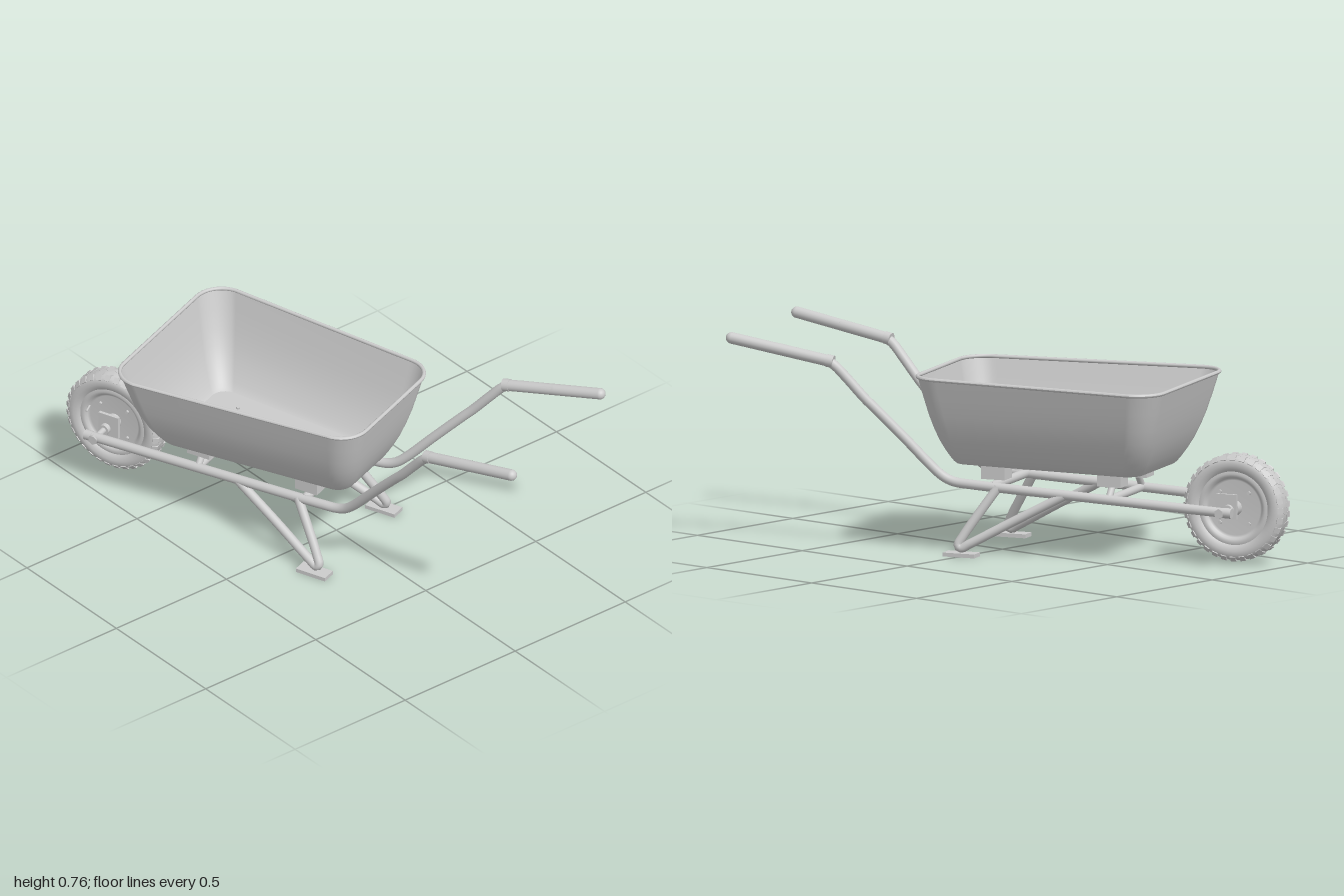
import * as THREE from 'three';

const V = (x, y, z) => new THREE.Vector3(x, y, z);
const mat = new THREE.MeshStandardMaterial({ color: 0xcccccc });
const thinMat = new THREE.MeshStandardMaterial({ color: 0xcccccc, side: THREE.DoubleSide });

function add(parent, name, geometry, material = mat) {
  const mesh = new THREE.Mesh(geometry, material);
  mesh.name = name;
  parent.add(mesh);
  return mesh;
}

function box(parent, name, w, h, d, x, y, z) {
  const mesh = add(parent, name, new THREE.BoxGeometry(w, h, d));
  mesh.position.set(x, y, z);
  return mesh;
}

// Closed straight bar between two points
function rod(parent, name, a, b, r, sides = 16, capsule = false) {
  const len = a.distanceTo(b);
  const geometry = capsule ? new THREE.CapsuleGeometry(r, len, 8, 20) : new THREE.CylinderGeometry(r, r, len, sides);
  const mesh = add(parent, name, geometry);
  mesh.position.copy(a).lerp(b, 0.5);
  mesh.quaternion.setFromUnitVectors(V(0, 1, 0), b.clone().sub(a).normalize());
  return mesh;
}

function pipe(parent, name, points, r, segments = 80) {
  const curve = new THREE.CatmullRomCurve3(points, false, 'centripetal');
  return add(parent, name, new THREE.TubeGeometry(curve, segments, r, 16), thinMat);
}

// Rounded tapered outline of the tray: t = 0 at the rim, 1 at the floor
const lerp = THREE.MathUtils.lerp;
function outline(t, y, grow = 0) {
  const x0 = lerp(-0.7, -0.575, t) - grow, x1 = lerp(0.255, 0.145, t) + grow;
  const w0 = lerp(0.352, 0.2, t) + grow, w1 = lerp(0.287, 0.155, t) + grow;
  const r = lerp(0.1, 0.055, t) + grow;
  const corners = [[x1, w1, 1, 1], [x0, w0, -1, 1], [x0, w0, -1, -1], [x1, w1, 1, -1]];
  const pts = [];
  corners.forEach(([x, w, sx, sz], k) => {
    for (let i = 0; i <= 9; i++) {
      const a = (k + i / 9) * Math.PI / 2;
      pts.push(V(x - sx * r + r * Math.cos(a), y, sz * (w - r) + r * Math.sin(a)));
    }
  });
  return pts;
}

function loft(rings) {
  const n = rings[0].length, index = [];
  for (let j = 0; j < rings.length - 1; j++) {
    for (let i = 0; i < n; i++) {
      const a = j * n + i, b = j * n + (i + 1) % n;
      index.push(a, a + n, b, b, a + n, b + n);
    }
  }
  const g = new THREE.BufferGeometry().setFromPoints(rings.flat());
  g.setIndex(index);
  g.computeVertexNormals();
  return g;
}

function buildTray(parent) {
  const tray = new THREE.Group();
  tray.name = 'tray';
  parent.add(tray);
  const profile = [[1, 0.314], [0.93, 0.322], [0.84, 0.338], [0.72, 0.362], [0.56, 0.4],
    [0.42, 0.443], [0.28, 0.495], [0.14, 0.56], [0, 0.63]];
  add(tray, 'trayWalls', loft(profile.map(([t, y]) => outline(t, y))), thinMat);
  const floor = new THREE.Shape(outline(1, 0).map(p => new THREE.Vector2(p.x, -p.z)));
  const floorMesh = add(tray, 'trayFloor', new THREE.ShapeGeometry(floor), thinMat);
  floorMesh.rotation.x = -Math.PI / 2;
  floorMesh.position.y = 0.314;
  // Rolled lip
  const lip = [];
  for (let i = 0; i <= 10; i++) {
    const a = i / 10 * Math.PI * 2;
    lip.push(outline(0, 0.631 + 0.007 * Math.sin(a), 0.007 * Math.cos(a)));
  }
  add(tray, 'trayLip', loft(lip), thinMat);
}

function buildWheel(parent) {
  const wheel = new THREE.Group();
  wheel.name = 'wheel';
  wheel.position.set(-0.878, 0.2, 0);
  parent.add(wheel);
  const turned = (name, pts) => {
    const m = add(wheel, name, new THREE.LatheGeometry(pts.map(p => new THREE.Vector2(...p)), 64), thinMat);
    m.rotation.x = Math.PI / 2;
  };
  const half = [[0.13, 0.033], [0.138, 0.041], [0.153, 0.046], [0.168, 0.045], [0.18, 0.038], [0.187, 0.022]];
  turned('tyre', [...half.map(([r, z]) => [r, -z]), [0.188, 0], ...half.slice().reverse()]);
  for (const s of [-1, 1]) {
    turned('rimDisc', [[0.001, 0.02], [0.098, 0.02], [0.106, 0.026], [0.112, 0.034], [0.122, 0.037],
      [0.132, 0.034]].map(([r, z]) => [r, s * z]));
    // Disc bolts
    for (let i = 0; i < 4; i++) {
      const a = (i + 0.5) * Math.PI / 2;
      const x = 0.078 * Math.cos(a), y = 0.078 * Math.sin(a);
      rod(wheel, 'rimBolt', V(x, y, s * 0.018), V(x, y, s * 0.029), 0.007, 6);
    }
    // Staggered slanted tread blocks and shoulder lugs
    for (let i = 0; i < 32; i++) {
      const spoke = new THREE.Group();
      spoke.name = 'treadRow';
      spoke.rotation.z = (i + (s > 0 ? 0.5 : 0)) / 32 * Math.PI * 2;
      wheel.add(spoke);
      const block = box(spoke, 'treadBlock', 0.011, 0.023, 0.024, 0.1825, 0, s * 0.015);
      block.rotation.x = s * 0.35;
      const lug = box(spoke, 'shoulderLug', 0.01, 0.021, 0.022, 0.179, 0, s * 0.034);
      lug.rotation.y = -s * 0.85;
    }
  }
  rod(wheel, 'hub', V(0, 0, -0.055), V(0, 0, 0.055), 0.028, 24);
  rod(wheel, 'axle', V(0, 0, -0.165), V(0, 0, 0.165), 0.011);
  rod(wheel, 'valve', V(-0.1, 0.03, 0.02), V(-0.092, 0.028, 0.058), 0.004, 8);
}

// Rail, handle, leg and mounts of one side (s = 1 or -1)
function buildSide(parent, s) {
  const side = new THREE.Group();
  side.name = s > 0 ? 'frameSideFront' : 'frameSideBack';
  parent.add(side);
  const P = (x, y, z) => V(x, y, s * z);
  const R = 0.0175;
  pipe(side, 'rail', [P(-0.915, 0.2, 0.149), P(-0.4, 0.224, 0.158), P(0.06, 0.246, 0.166), P(0.13, 0.253, 0.169),
    P(0.165, 0.267, 0.173), P(0.2, 0.295, 0.18), P(0.3, 0.4, 0.206), P(0.4, 0.503, 0.234), P(0.44, 0.543, 0.245),
    P(0.5, 0.61, 0.258), P(0.545, 0.657, 0.268), P(0.575, 0.674, 0.272), P(0.75, 0.71, 0.286)], R, 140);
  rod(side, 'railEnd', P(-0.919, 0.2, 0.149), P(-0.89, 0.2015, 0.1495), R + 0.001, 20);
  rod(side, 'grip', P(0.568, 0.673, 0.27), P(0.924, 0.738, 0.304), 0.0205, 20, true);
  rod(side, 'gripCollar', P(0.55, 0.67, 0.2685), P(0.575, 0.6745, 0.271), 0.0225, 20);
  // Bent leg and foot plate
  pipe(side, 'leg', [P(-0.285, 0.226, 0.16), P(-0.1, 0.126, 0.196), P(0.05, 0.043, 0.228), P(0.08, 0.028, 0.233),
    P(0.09, 0.038, 0.232), P(0.075, 0.07, 0.222), P(-0.035, 0.243, 0.166)], 0.0165);
  box(side, 'foot', 0.12, 0.014, 0.055, 0.075, 0.007, s * 0.238);
  // Axle bracket
  box(side, 'axlePlate', 0.08, 0.088, 0.012, -0.868, 0.212, s * 0.072);
  rod(side, 'axleSpacer', P(-0.878, 0.2, 0.06), P(-0.878, 0.2, 0.095), 0.02);
  rod(side, 'axleNut', P(-0.878, 0.2, 0.155), P(-0.878, 0.2, 0.172), 0.018, 6);
  // Tray mounts with bolts
  for (const x of [-0.453, -0.01]) {
    box(side, 'mountBlock', 0.09, 0.047, 0.068, x, 0.29, s * 0.12);
    rod(side, 'mountBolt', P(x, 0.3, 0.12), P(x, 0.32, 0.12), 0.007, 6);
  }
  rod(side, 'mountStrut', P(-0.453, 0.222, 0.157), P(-0.453, 0.275, 0.115), 0.0125);
}

export function createModel() {
  const model = new THREE.Group();
  model.name = 'wheelbarrow';
  const body = new THREE.Group();
  body.name = 'body';
  body.rotation.y = THREE.MathUtils.degToRad(20);
  body.position.set(0.013, 0, 0.036);
  model.add(body);
  buildTray(body);
  buildWheel(body);
  for (const s of [-1, 1]) buildSide(body, s);
  // Cross bars between the rails
  rod(body, 'rearCrossBar', V(-0.01, 0.244, -0.165), V(-0.01, 0.244, 0.165), 0.0165);
  rod(body, 'frontCrossBar', V(-0.453, 0.222, -0.157), V(-0.453, 0.222, 0.157), 0.0145);
  return model;
}
